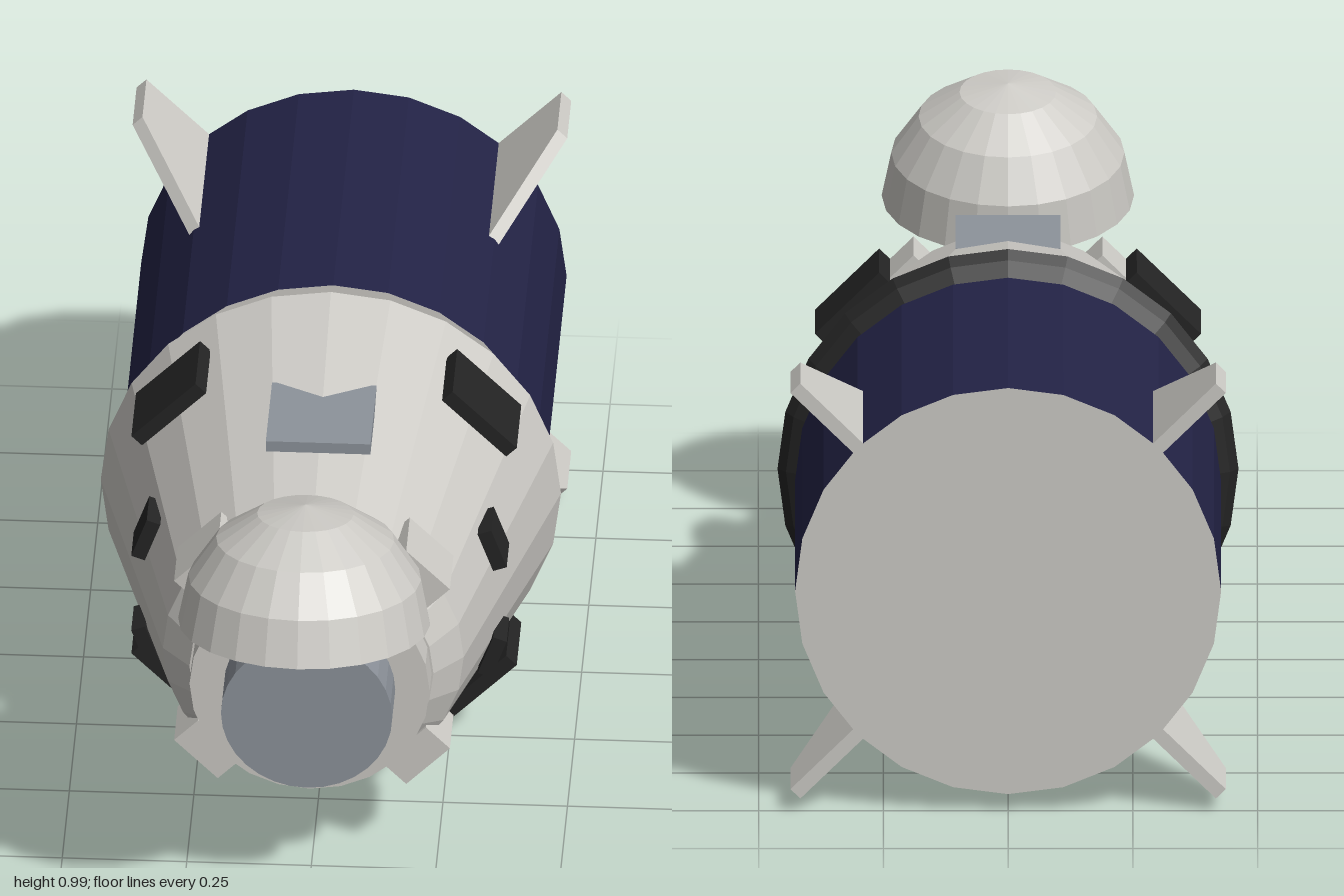
import * as THREE from 'three';

const AXIS_Y = 0.465, SIDES = 24;

const mat = (name, color) => {
  const m = new THREE.MeshStandardMaterial({ color });
  m.name = name;
  return m;
};

// Give every face its own normal
function faceted(geo) {
  const g = geo.index ? geo.toNonIndexed() : geo;
  g.computeVertexNormals();
  return g;
}

// Revolve [radius, z] points, ordered back to front, about the z axis
function revolve(profile, sides = SIDES) {
  const pts = profile.map(([r, z]) => new THREE.Vector2(r, z));
  return faceted(new THREE.LatheGeometry(pts, sides).rotateX(Math.PI / 2));
}

export function createModel() {
  const hullGrey = mat('hull grey', 0xcccac5);
  const black = mat('shield black', 0x242424);
  const navy = mat('solar navy', 0x232346);
  const steel = mat('steel blue grey', 0x8d939b);

  const model = new THREE.Group();
  model.name = 'spacecraft';
  const craft = new THREE.Group();
  craft.name = 'craft';
  craft.position.y = AXIS_Y;
  model.add(craft);

  const add = (name, geo, material) => {
    const mesh = new THREE.Mesh(geo, material);
    mesh.name = name;
    craft.add(mesh);
    return mesh;
  };

  // Capsule, collar and docking port
  add('capsule', revolve([[0.462, -0.19], [0.302, 0.43], [0.245, 0.495], [0, 0.495]]), hullGrey);
  add('collar', revolve([[0.241, 0.48], [0.241, 0.56], [0, 0.56]]), hullGrey);
  add('dockingPort', revolve([[0.172, 0.55], [0.172, 0.665], [0, 0.665]], 32), steel);

  // Rounded heat shield
  add('heatShield', revolve([[0, -0.27], [0.15, -0.267], [0.3, -0.255], [0.4, -0.235],
    [0.445, -0.212], [0.462, -0.19]]), black);

  // Trunk: navy upper half, grey lower half, closed ends
  const trunkHalf = (start) => faceted(
    new THREE.CylinderGeometry(0.427, 0.427, 0.73, SIDES / 2, 1, true, start, Math.PI)
      .rotateX(Math.PI / 2).translate(0, 0, -0.635));
  add('trunkSolarHalf', trunkHalf(Math.PI / 2), navy);
  add('trunkRadiatorHalf', trunkHalf(-Math.PI / 2), hullGrey);
  add('trunkFrontEnd', new THREE.CircleGeometry(0.427, SIDES).translate(0, 0, -0.27), hullGrey);
  add('trunkBackEnd', new THREE.CircleGeometry(0.427, SIDES).rotateY(Math.PI).translate(0, 0, -1), hullGrey);

  // Open nose cover, a tilted closed dome
  const domeProfile = [new THREE.Vector2(0, 0)];
  for (let i = 0; i <= 4; i++) {
    const a = i * Math.PI / 8;
    domeProfile.push(new THREE.Vector2(0.253 * Math.cos(a), 0.253 * Math.sin(a)));
  }
  const dome = add('noseCover', faceted(new THREE.LatheGeometry(domeProfile, SIDES)), hullGrey);
  dome.position.set(0, 0.742 - AXIS_Y, 0.748);
  dome.rotation.x = -Math.PI / 18;

  // Plate on top, partly sunk into the capsule
  add('topPlate', new THREE.BoxGeometry(0.21, 0.024, 0.22).translate(0, 0.378, 0.15), steel);

  // Fin outline as radius against z
  const finShape = new THREE.Shape([[0.41, -1], [0.603, -1], [0.603, -0.86], [0.424, -0.652], [0.41, -0.652]]
    .map(([r, z]) => new THREE.Vector2(r, z)));
  const finGeo = new THREE.ExtrudeGeometry(finShape, { depth: 0.028, bevelEnabled: false })
    .translate(0, 0, -0.014).rotateX(Math.PI / 2);

  // Blocks set at a radius: radial, tangential and z sizes
  const block = (radius, z, w, h, d) => new THREE.BoxGeometry(w, h, d).translate(radius, 0, z);
  const rings = [
    ['fin', finGeo, hullGrey, 45],
    ['largeWindow', block(0.441, -0.03, 0.03, 0.182, 0.16), black, 45],
    ['smallWindow', block(0.37, 0.185, 0.029, 0.091, 0.09), black, 20],
    ['thrusterPod', block(0.2955, 0.413, 0.068, 0.124, 0.125), hullGrey, 45],
  ];
  for (const [name, geo, material, degrees] of rings) {
    for (const angle of [degrees, 180 - degrees, 180 + degrees, -degrees]) {
      add(name, geo, material).rotation.z = THREE.MathUtils.degToRad(angle);
    }
  }
  return model;
}
